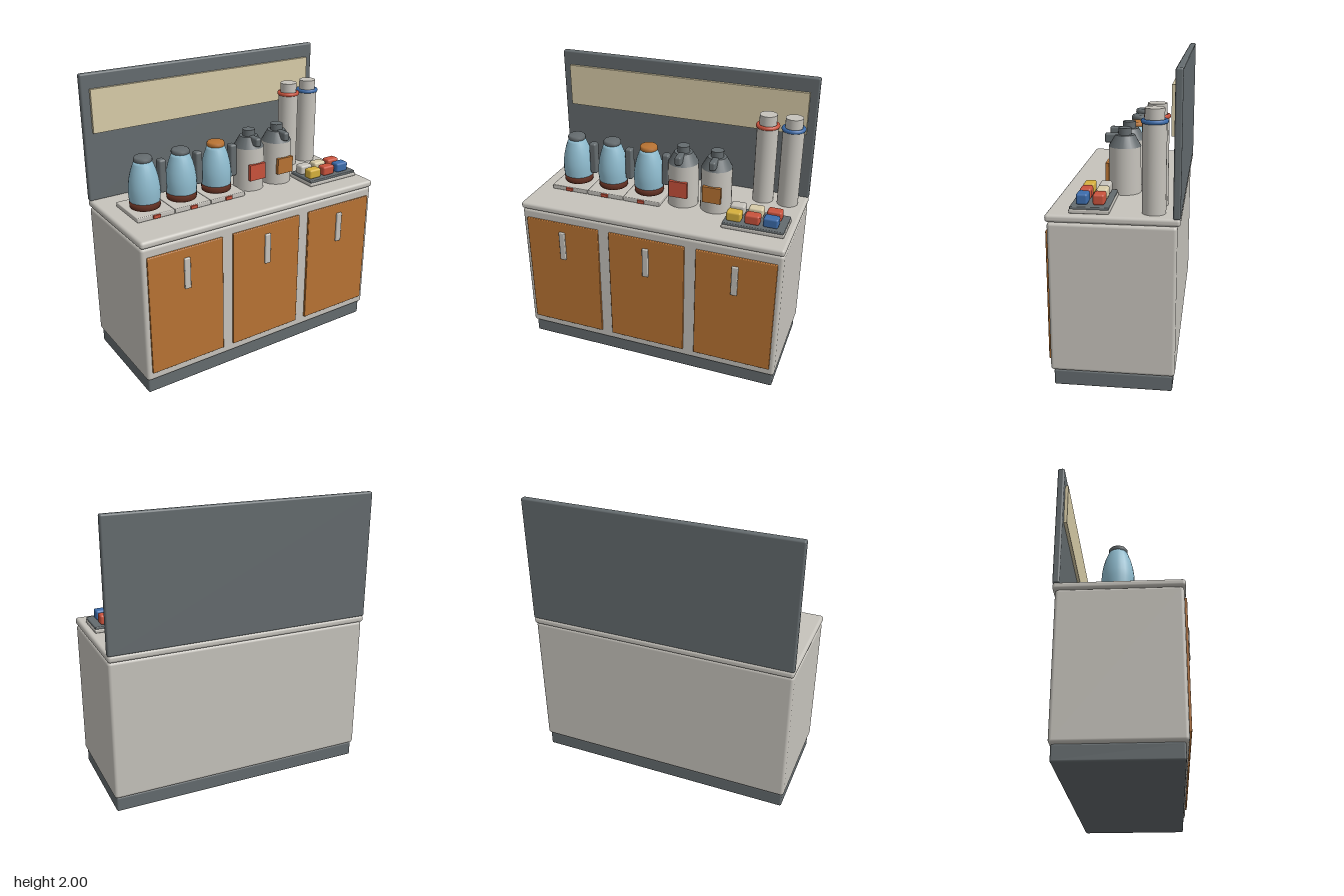
import * as THREE from 'three';
import { RoundedBoxGeometry } from 'three/addons/geometries/RoundedBoxGeometry.js';

const mat = (name, color) => new THREE.MeshStandardMaterial({ name, color });

export function createModel() {
  const lightGrey = mat('lightGrey', 0xc6c3bc);
  const darkGrey = mat('darkGrey', 0x646b6e);
  const copper = mat('copper', 0xb87333);
  const cream = mat('cream', 0xd8cca8);
  const glass = mat('glassBlue', 0x8fbccf);
  const brown = mat('coffeeBrown', 0x5f2e20);
  const red = mat('red', 0xc9523c);
  const blue = mat('blue', 0x3c6cab);
  const yellow = mat('yellow', 0xd6b03c);

  const model = new THREE.Group();
  model.name = 'coffeeStation';

  const add = (parent, name, geometry, material, x = 0, y = 0, z = 0) => {
    const mesh = new THREE.Mesh(geometry, material);
    mesh.name = name;
    mesh.position.set(x, y, z);
    parent.add(mesh);
    return mesh;
  };
  // Box given by its limits on each axis; r rounds the edges
  const box = (parent, name, material, [x0, x1], [y0, y1], [z0, z1], r = 0) => {
    const size = [x1 - x0, y1 - y0, z1 - z0];
    const geometry = r ? new RoundedBoxGeometry(...size, 2, r) : new THREE.BoxGeometry(...size);
    return add(parent, name, geometry, material, (x0 + x1) / 2, (y0 + y1) / 2, (z0 + z1) / 2);
  };
  const lathe = (parent, name, material, points, sides = 24) =>
    add(parent, name, new THREE.LatheGeometry(points.map(p => new THREE.Vector2(...p)), sides), material);
  const groupAt = (name, x, y, z) => {
    const group = new THREE.Group();
    group.name = name;
    group.position.set(x, y, z);
    model.add(group);
    return group;
  };

  // Cabinet, counter and back board
  box(model, 'plinth', darkGrey, [-0.92, 0.92], [0, 0.105], [-0.38, 0.365], 0.012);
  box(model, 'cabinet', lightGrey, [-0.933, 0.933], [0.105, 1.08], [-0.395, 0.385], 0.022);
  box(model, 'countertop', lightGrey, [-0.935, 0.935], [1.08, 1.13], [-0.413, 0.397], 0.02);
  box(model, 'backBoard', darkGrey, [-0.935, 0.935], [1.125, 2], [-0.413, -0.368], 0.012);
  box(model, 'signPanel', cream, [-0.877, 0.877], [1.605, 1.9], [-0.37, -0.347]);

  // Doors with handles
  for (const x of [-0.625, 0, 0.625]) {
    box(model, 'door', copper, [x - 0.273, x + 0.273], [0.168, 1.016], [0.375, 0.4], 0.006);
    box(model, 'doorHandle', lightGrey, [x - 0.022, x + 0.022], [0.73, 0.95], [0.395, 0.415], 0.007);
  }

  // Warming plates with glass carafes
  [[-0.688, darkGrey], [-0.413, darkGrey], [-0.138, copper]].forEach(([x, lidMaterial]) => {
    const unit = groupAt('carafeWarmer', x, 1.13, -0.03);
    box(unit, 'warmingPlate', lightGrey, [-0.136, 0.136], [0, 0.033], [-0.16, 0.16], 0.006);
    box(unit, 'switch', red, [-0.025, 0.025], [0.008, 0.03], [0.155, 0.173]);
    lathe(unit, 'coffee', brown, [[0, 0.033], [0.1, 0.033], [0.103, 0.045], [0.104, 0.08], [0, 0.08]]);
    lathe(unit, 'carafeBody', glass, [[0.103, 0.08], [0.107, 0.13], [0.105, 0.18], [0.097, 0.235],
      [0.083, 0.29], [0.068, 0.33], [0.06, 0.348], [0, 0.348]]);
    lathe(unit, 'carafeLid', lidMaterial, [[0, 0.344], [0.054, 0.344], [0.062, 0.352], [0.062, 0.369],
      [0.054, 0.38], [0, 0.382]]);
    box(unit, 'carafeHandle', darkGrey, [0.104, 0.156], [0.105, 0.335], [-0.03, 0.03], 0.014);
  });

  // Vacuum jugs
  [[0.122, red], [0.36, copper]].forEach(([x, labelMaterial]) => {
    const jug = groupAt('vacuumJug', x, 1.13, -0.015);
    add(jug, 'jugBody', new THREE.CylinderGeometry(0.105, 0.108, 0.305, 24), lightGrey, 0, 0.1525, 0);
    add(jug, 'jugShoulder', new THREE.CylinderGeometry(0.064, 0.106, 0.075, 24), darkGrey, 0, 0.3425, 0);
    add(jug, 'jugKnob', new THREE.CylinderGeometry(0.043, 0.043, 0.05, 20), darkGrey, 0, 0.4, 0);
    box(jug, 'jugSpout', darkGrey, [-0.023, 0.023], [0.325, 0.388], [0.03, 0.13], 0.014);
    box(jug, 'jugLabel', labelMaterial, [-0.064, 0.064], [0.085, 0.2], [0.096, 0.12]);
  });

  // Cup dispensers
  [[0.635, red], [0.81, blue]].forEach(([x, ringMaterial]) => {
    const tube = groupAt('cupDispenser', x, 1.13, -0.247);
    add(tube, 'dispenserTube', new THREE.CylinderGeometry(0.073, 0.073, 0.55, 24), lightGrey, 0, 0.275, 0);
    const ring = add(tube, 'dispenserRing', new THREE.TorusGeometry(0.068, 0.014, 8, 28), ringMaterial, 0, 0.552, 0);
    ring.rotation.x = Math.PI / 2;
    add(tube, 'cupStack', new THREE.CylinderGeometry(0.059, 0.059, 0.1, 24), lightGrey, 0, 0.58, 0);
  });

  // Sachet tray
  box(model, 'trayBase', lightGrey, [0.475, 0.895], [1.13, 1.157], [0.012, 0.257], 0.008);
  box(model, 'trayTop', darkGrey, [0.48, 0.89], [1.15, 1.172], [0.017, 0.252], 0.006);
  [[lightGrey, cream, red], [yellow, red, blue]].forEach((row, r) => row.forEach((material, c) => {
    const x = 0.547 + c * 0.124, z = 0.083 + r * 0.102;
    box(model, 'sachet', material, [x - 0.05, x + 0.05], [1.17, 1.238], [z - 0.036, z + 0.036], 0.014);
  }));

  return model;
}
